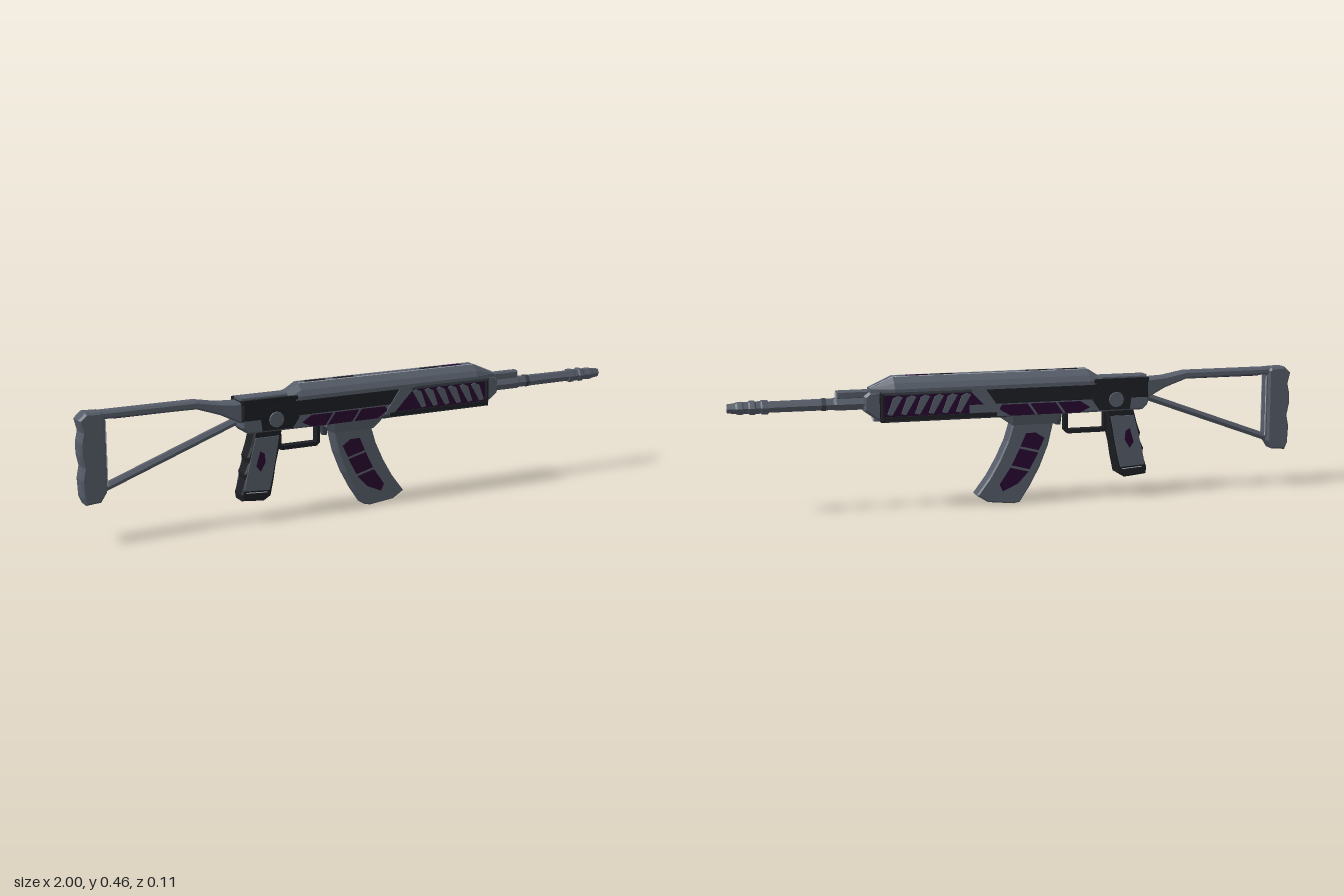
import * as THREE from 'three';

const make = (name, color) => {
  const m = new THREE.MeshStandardMaterial({ color });
  m.name = name;
  return m;
};

export function createModel() {
  const root = new THREE.Group();
  root.name = 'rifle';
  const steel = make('steel grey', 0x565d69);
  const dark = make('dark metal', 0x1d1f24);
  const mid = make('gunmetal', 0x3b414a);
  const purple = make('deep purple', 0x26072f);
  const light = make('bare metal', 0xaeb3bd);

  const add = (name, geo, mat) => {
    const mesh = new THREE.Mesh(geo, mat);
    mesh.name = name;
    root.add(mesh);
    return mesh;
  };
  const toShape = pts => new THREE.Shape(pts.map(p => new THREE.Vector2(p[0], p[1])));

  // side outline extruded to a half width, with a small bevel
  const slab = (name, mat, pts, hw, bevel = 0.006) => {
    const geo = new THREE.ExtrudeGeometry(toShape(pts), {
      depth: 2 * (hw - bevel), bevelEnabled: bevel > 0, bevelThickness: bevel,
      bevelSize: bevel, bevelOffset: -bevel, bevelSegments: 1,
    });
    geo.translate(0, 0, -(hw - bevel));
    return add(name, geo, mat);
  };
  // thin plate on each flank, standing just proud of half width z
  const panels = (name, mat, pts, z, t = 0.004) => {
    for (const s of [1, -1]) {
      const geo = new THREE.ExtrudeGeometry(toShape(pts), { depth: t + 0.002, bevelEnabled: false });
      geo.translate(0, 0, s > 0 ? z - 0.002 : -z - t);
      add(name + (s > 0 ? 'Front' : 'Back'), geo, mat);
    }
  };
  const rect = (x0, y0, x1, y1) => [[x0, y0], [x1, y0], [x1, y1], [x0, y1]];
  // six-sided bar between two points
  const bar6 = (name, mat, a, b, r) => {
    const from = new THREE.Vector3(...a), to = new THREE.Vector3(...b);
    const dir = to.clone().sub(from);
    const geo = new THREE.CylinderGeometry(r, r, dir.length(), 6).toNonIndexed();
    geo.computeVertexNormals();
    const mesh = add(name, geo, mat);
    mesh.position.copy(from).add(to).multiplyScalar(0.5);
    mesh.quaternion.setFromUnitVectors(new THREE.Vector3(0, 1, 0), dir.normalize());
  };
  // worn bright edge on both flanks
  const edges = (name, a, b) => {
    for (const s of [1, -1]) bar6(name, light, [a[0], a[1], a[2] * s], [b[0], b[1], b[2] * s], 0.0017);
  };
  // faceted tube along x from [x, radius] pairs
  const rod = (name, mat, prof, y, sides = 6) => {
    const geo = new THREE.LatheGeometry(prof.map(p => new THREE.Vector2(p[1], p[0])), sides).toNonIndexed();
    geo.rotateZ(-Math.PI / 2);
    geo.translate(0, y, 0);
    geo.computeVertexNormals();
    return add(name, geo, mat);
  };
  // loft along x; each section holds [y, halfWidth] pairs from bottom to top
  const loft = (name, mat, sections) => {
    const pos = [];
    const rings = sections.map(([x, half]) => [
      ...half.slice().reverse().map(([y, w]) => [x, y, w]),
      ...half.map(([y, w]) => [x, y, -w]),
    ]);
    const n = rings[0].length, last = rings[rings.length - 1];
    for (let k = 0; k + 1 < rings.length; k++) for (let i = 0; i < n; i++) {
      const j = (i + 1) % n, a = rings[k], b = rings[k + 1];
      pos.push(...a[i], ...a[j], ...b[i], ...a[j], ...b[j], ...b[i]);
    }
    for (let i = 1; i + 1 < n; i++) {
      pos.push(...last[0], ...last[i], ...last[i + 1]);
      pos.push(...rings[0][0], ...rings[0][i + 1], ...rings[0][i]);
    }
    const geo = new THREE.BufferGeometry();
    geo.setAttribute('position', new THREE.Float32BufferAttribute(pos, 3));
    geo.computeVertexNormals();
    return add(name, geo, mat);
  };

  // receiver
  slab('receiverUpper', dark, [[-0.45, 0.35], [0.14, 0.35], [0.2, 0.42], [-0.45, 0.42]], 0.047);
  slab('receiverLower', steel, [[-0.45, 0.33], [-0.43, 0.31], [0.1, 0.305], [0.2, 0.32], [0.2, 0.36],
    [-0.22, 0.36], [-0.26, 0.395], [-0.45, 0.385]], 0.045);
  slab('rearSightRail', steel, rect(-0.45, 0.412, -0.25, 0.43), 0.026, 0.004);
  for (const z of [0.043, -0.043]) {
    const rail = add('rearEdgeRail', new THREE.BoxGeometry(0.2, 0.014, 0.01), dark);
    rail.position.set(-0.35, 0.416, z);
  }
  panels('rearDarkPlate', dark, [[-0.38, 0.315], [-0.27, 0.315], [-0.245, 0.35], [-0.25, 0.39], [-0.39, 0.39]], 0.045);
  for (const s of [1, -1]) {
    const knob = add('selectorDisc', new THREE.CylinderGeometry(0.026, 0.028, 0.008, 12).toNonIndexed(), steel);
    knob.geometry.computeVertexNormals();
    knob.rotation.x = s * Math.PI / 2;
    knob.position.set(-0.33, 0.35, s * 0.05);
  }
  // slanted inlays, nearly touching
  panels('receiverInlayRear', purple, [[-0.235, 0.328], [-0.2, 0.311], [-0.148, 0.311], [-0.12, 0.35], [-0.2, 0.35]], 0.045, 0.003);
  panels('receiverInlayMiddle', purple, [[-0.138, 0.311], [-0.048, 0.311], [-0.02, 0.35], [-0.11, 0.35]], 0.045, 0.003);
  panels('receiverInlayFront', purple, [[-0.038, 0.311], [0.05, 0.311], [0.09, 0.335], [0.08, 0.35], [-0.01, 0.35]], 0.045, 0.003);

  // top cover with sloped ends
  const cover = (x, top, t, s, b) => [x, [[0.405, b], [0.418, b], [Math.min(0.437, top - 0.003), s], [top, t]]];
  loft('topCover', steel, [
    cover(-0.28, 0.428, 0.02, 0.036, 0.044), cover(-0.235, 0.457, 0.016, 0.04, 0.05),
    cover(0.45, 0.457, 0.016, 0.04, 0.05), cover(0.53, 0.422, 0.012, 0.022, 0.026),
  ]);
  edges('coverWornEdge', [-0.235, 0.4565, 0.016], [0.45, 0.4565, 0.016]);
  edges('coverWornNose', [0.45, 0.4565, 0.016], [0.53, 0.4215, 0.012]);
  [[-0.165, dark], [-0.055, dark], [0.28, dark], [0.365, purple]].forEach(([x, mat]) => {
    const slot = add('coverSlot', new THREE.BoxGeometry(0.075, 0.003, 0.016), mat);
    slot.position.set(x, 0.457, 0);
  });

  // handguard with slanted ribs
  slab('handguardCore', purple, [[0.11, 0.32], [0.49, 0.32], [0.49, 0.408], [0.18, 0.408]], 0.045, 0.004);
  slab('handguardFloor', mid, [[0.06, 0.306], [0.485, 0.306], [0.495, 0.315], [0.495, 0.323], [0.06, 0.323]], 0.045, 0.005);
  panels('handguardLowerEdge', dark, rect(0.1, 0.312, 0.493, 0.326), 0.045, 0.006);
  slab('handguardTopEdge', mid, rect(0.18, 0.397, 0.495, 0.412), 0.051, 0.004);
  slab('handguardEndCap', dark, rect(0.484, 0.308, 0.497, 0.408), 0.051, 0.004);
  for (const z of [0.038, -0.038]) {
    const strip = add('endCapInlay', new THREE.BoxGeometry(0.004, 0.065, 0.005), purple);
    strip.position.set(0.497, 0.357, z);
  }
  panels('handguardWedge', steel, [[0.08, 0.325], [0.115, 0.325], [0.2, 0.41], [0.14, 0.41]], 0.045, 0.006);
  for (let i = 0; i < 6; i++) {
    const x = 0.2 + i * 0.047;
    panels('handguardRib', steel, [[x + 0.025, 0.331], [x + 0.041, 0.334], [x + 0.021, 0.388], [x + 0.004, 0.396],
      [x - 0.011, 0.391]], 0.045, 0.006);
  }

  // front block, gas tube and bright end faces
  slab('frontBlock', steel, [[0.48, 0.312], [0.505, 0.312], [0.55, 0.345], [0.55, 0.395], [0.53, 0.41], [0.48, 0.41]], 0.027, 0.008);
  slab('gasTube', steel, rect(0.5, 0.388, 0.64, 0.415), 0.016, 0.005);
  const endFace = (name, x, y, h, w) => {
    const plate = add(name, new THREE.BoxGeometry(0.004, h, w), light);
    plate.position.set(x, y, 0);
  };
  endFace('gasTubeEndFace', 0.64, 0.4015, 0.02, 0.024);
  slab('cleaningRodSocket', steel, rect(0.49, 0.308, 0.515, 0.332), 0.021, 0.004);
  endFace('socketEndFace', 0.515, 0.32, 0.016, 0.034);

  // barrel and muzzle
  rod('barrel', steel, [[0.5, 0], [0.5, 0.024], [0.64, 0.024], [0.65, 0.021], [0.87, 0.02], [0.87, 0]], 0.371);
  rod('barrelBand', mid, [[0.675, 0], [0.675, 0.0225], [0.69, 0.0225], [0.69, 0]], 0.371);
  rod('muzzle', steel, [[0.865, 0], [0.865, 0.025], [0.885, 0.026], [0.89, 0.022], [0.905, 0.022], [0.91, 0.026],
    [0.925, 0.025], [0.93, 0.021], [0.945, 0.021], [0.95, 0.023], [0.965, 0.022], [0.972, 0.019], [0.998, 0.016], [0.998, 0]], 0.371);
  rod('muzzleEndFace', light, [[0.99, 0], [0.99, 0.012], [1, 0.012], [1, 0]], 0.371);

  // magazine well and curved magazine
  loft('magazineWell', steel, [
    [-0.135, [[0.295, 0.03], [0.315, 0.04]]], [-0.11, [[0.275, 0.036], [0.315, 0.045]]],
    [0.04, [[0.275, 0.036], [0.315, 0.045]]], [0.075, [[0.3, 0.03], [0.315, 0.04]]],
  ]);
  slab('magazine', steel, [[-0.11, 0.285], [-0.09, 0.2], [-0.06, 0.125], [-0.025, 0.06], [0.012, 0.004], [0.035, 0],
    [0.125, 0.01], [0.165, 0.035], [0.12, 0.095], [0.085, 0.155], [0.055, 0.22], [0.035, 0.285]], 0.03, 0.005);
  panels('magazineInlayUpper', purple, [[-0.075, 0.225], [-0.045, 0.245], [-0.01, 0.245], [0.01, 0.2], [-0.055, 0.183]], 0.03, 0.002);
  panels('magazineInlayMiddle', purple, [[-0.053, 0.175], [0.013, 0.192], [0.042, 0.135], [-0.022, 0.118]], 0.03, 0.002);
  panels('magazineInlayLower', purple, [[-0.018, 0.11], [0.046, 0.127], [0.085, 0.07], [0.073, 0.046], [0.02, 0.07]], 0.03, 0.002);

  // pistol grip
  slab('gripCore', dark, [[-0.4, 0.315], [-0.415, 0.26], [-0.428, 0.225], [-0.424, 0.205], [-0.44, 0.17], [-0.437, 0.15],
    [-0.453, 0.1], [-0.45, 0.078], [-0.37, 0.07], [-0.345, 0.085], [-0.333, 0.14], [-0.325, 0.19], [-0.31, 0.25], [-0.3, 0.315]], 0.031);
  panels('gripPanel', steel, [[-0.4, 0.29], [-0.42, 0.215], [-0.438, 0.14], [-0.443, 0.113], [-0.353, 0.108],
    [-0.342, 0.15], [-0.33, 0.21], [-0.315, 0.29]], 0.031, 0.005);
  panels('gripInlay', purple, [[-0.4, 0.195], [-0.385, 0.175], [-0.367, 0.205], [-0.37, 0.235], [-0.385, 0.245]], 0.036, 0.002);
  edges('gripWornEdge', [-0.435, 0.105, 0.031], [-0.36, 0.1, 0.031]);

  // trigger guard
  const guard = toShape([[-0.31, 0.315], [-0.31, 0.245], [-0.298, 0.233], [-0.165, 0.233], [-0.153, 0.245], [-0.153, 0.315]]);
  guard.holes.push(new THREE.Path(rect(-0.298, 0.247, -0.165, 0.306).map(p => new THREE.Vector2(...p))));
  add('triggerGuard', new THREE.ExtrudeGeometry(guard, { depth: 0.03, bevelEnabled: false }).translate(0, 0, -0.015), dark);
  slab('magazineCatch', mid, [[-0.145, 0.31], [-0.14, 0.265], [-0.125, 0.265], [-0.12, 0.31]], 0.012, 0.003);

  // skeleton stock
  slab('buttPad', steel, [[-1, 0.415], [-0.975, 0.437], [-0.925, 0.435], [-0.915, 0.425], [-0.915, 0.17], [-0.935, 0.14],
    [-0.985, 0.136], [-0.995, 0.16], [-0.998, 0.22], [-0.99, 0.26], [-0.998, 0.3], [-0.998, 0.34], [-0.99, 0.375]], 0.03, 0.007);
  slab('buttPlate', steel, rect(-0.92, 0.185, -0.909, 0.41), 0.02, 0.003);
  edges('buttWornEdge', [-0.909, 0.19, 0.018], [-0.909, 0.405, 0.018]);
  const bar = (x, y0, y1, w) => [x, [[y0, w * 0.7], [y0 + 0.007, w], [y1 - 0.007, w], [y1, w * 0.7]]];
  loft('stockTopBar', steel, [bar(-0.93, 0.41, 0.435, 0.024), bar(-0.6, 0.407, 0.435, 0.024),
    bar(-0.52, 0.38, 0.42, 0.027), bar(-0.44, 0.34, 0.415, 0.036)]);
  slab('stockInlay', purple, rect(-0.88, 0.406, -0.62, 0.411), 0.009, 0);
  bar6('stockStrut', steel, [-0.925, 0.178, 0], [-0.46, 0.348, 0], 0.014);

  return root;
}
